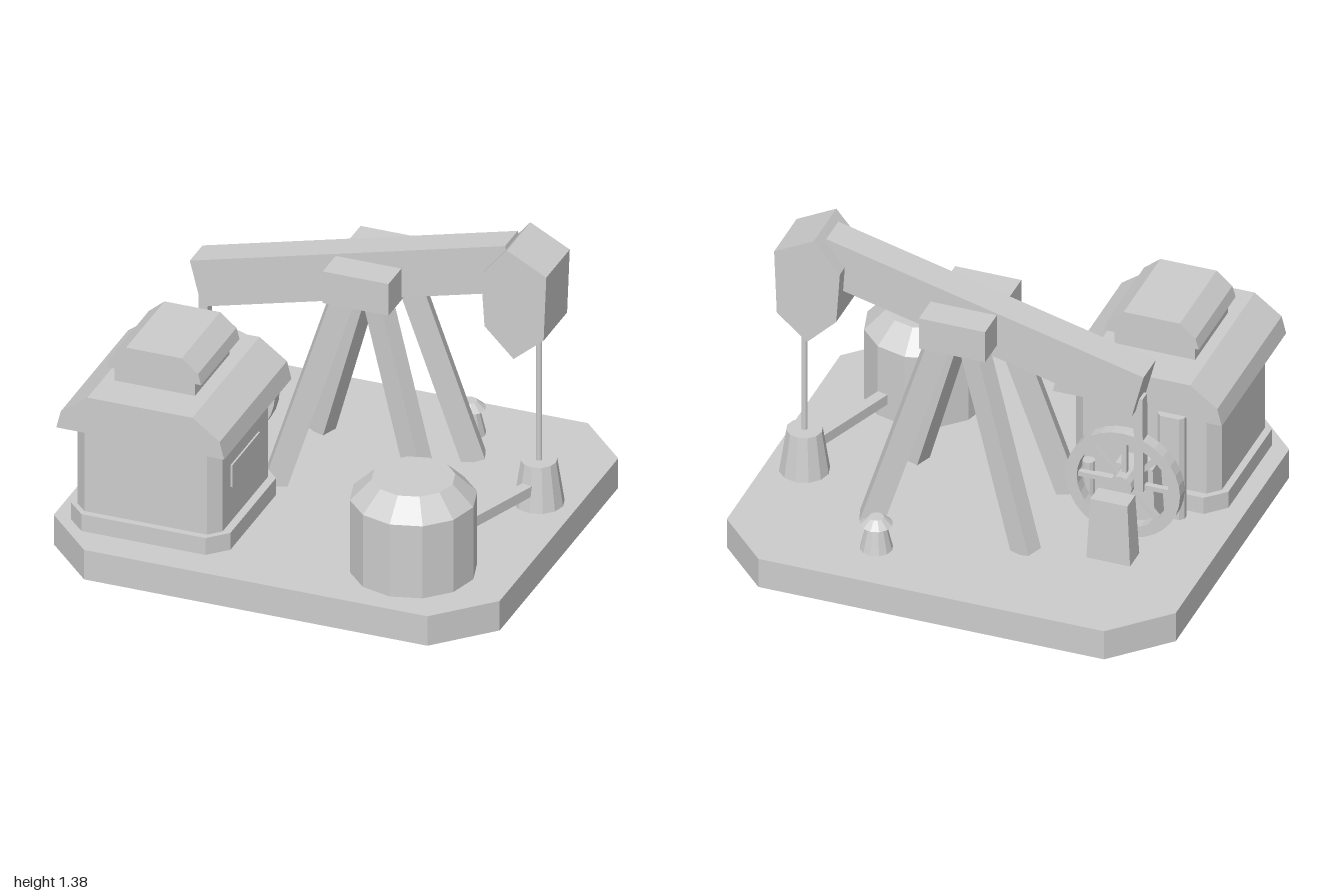
import * as THREE from 'three';

const metal = new THREE.MeshStandardMaterial({ color: 0xcccccc, side: THREE.DoubleSide });
metal.name = 'plain grey';

export function createModel() {
  const model = new THREE.Group();
  const add = (name, geo, x = 0, y = 0, z = 0, parent = model) => {
    const flat = geo.index ? geo.toNonIndexed() : geo;
    flat.computeVertexNormals();
    const mesh = new THREE.Mesh(flat, metal);
    mesh.name = name;
    mesh.position.set(x, y, z);
    parent.add(mesh);
    return mesh;
  };
  // box given by its limits
  const block = (name, x0, x1, y0, y1, z0, z1, parent) =>
    add(name, new THREE.BoxGeometry(x1 - x0, y1 - y0, z1 - z0),
      (x0 + x1) / 2, (y0 + y1) / 2, (z0 + z1) / 2, parent);
  // upright frustum standing on y0
  const drum = (name, rTop, rBottom, y0, y1, sides, x, z, parent) =>
    add(name, new THREE.CylinderGeometry(rTop, rBottom, y1 - y0, sides), x, (y0 + y1) / 2, z, parent);
  // profile in x and y, extruded from z0 to z1
  const slab = (name, points, z0, z1, parent) =>
    add(name, new THREE.ExtrudeGeometry(new THREE.Shape(points.map(p => new THREE.Vector2(...p))),
      { depth: z1 - z0, bevelEnabled: false }), 0, 0, z0, parent);
  // prism whose plan is a rectangle with cut corners, open underneath
  const prism = (name, hx, hz, cx, cz, y0, y1, x, z, parent) => {
    const plan = [[hx, hz - cz], [hx - cx, hz], [cx - hx, hz], [-hx, hz - cz],
      [-hx, cz - hz], [cx - hx, -hz], [hx - cx, -hz], [hx, cz - hz]];
    const shape = new THREE.Shape(plan.map(p => new THREE.Vector2(...p)));
    const solid = new THREE.ExtrudeGeometry(shape, { depth: y1 - y0, bevelEnabled: false });
    // the first half of the caps is the bottom face
    const kept = solid.attributes.position.array.slice(solid.groups[0].count / 2 * 3);
    const geo = new THREE.BufferGeometry().setAttribute('position', new THREE.BufferAttribute(kept, 3));
    return add(name, geo.rotateX(-Math.PI / 2), x, y0, z, parent);
  };
  // square bar between two points
  const bar = (name, a, b, w, h, parent) => {
    const p = new THREE.Vector3(...a), q = new THREE.Vector3(...b);
    const m = p.clone().add(q).multiplyScalar(0.5);
    const mesh = add(name, new THREE.BoxGeometry(w, h, p.distanceTo(q)), m.x, m.y, m.z, parent);
    mesh.lookAt(q);
    return mesh;
  };
  const group = name => {
    const g = new THREE.Group();
    g.name = name;
    model.add(g);
    return g;
  };

  // hollow ground slab
  prism('base', 1, 0.898, 0.23, 0.235, 0, 0.14, 0, 0);

  // engine house with a folded roof and a raised vent
  const house = group('engineHouse');
  prism('plinth', 0.358, 0.335, 0.08, 0.08, 0.14, 0.22, -0.563, 0.415, house);
  prism('walls', 0.325, 0.303, 0.05, 0.05, 0.22, 0.7, -0.565, 0.417, house);
  slab('roof', [[-0.94, 0.63], [-0.187, 0.63], [-0.207, 0.71], [-0.33, 0.8], [-0.8, 0.8], [-0.92, 0.71]],
    0.032, 0.785, house);
  block('ventNeck', -0.75, -0.39, 0.79, 0.88, 0.22, 0.605, house);
  slab('ventRoof', [[-0.775, 0.87], [-0.353, 0.87], [-0.367, 0.92], [-0.44, 0.98], [-0.69, 0.98], [-0.76, 0.92]],
    0.198, 0.628, house);
  block('sidePanel', -0.245, -0.232, 0.385, 0.49, 0.27, 0.58, house);
  // fittings behind the house
  prism('rearColumn', 0.06, 0.03, 0.018, 0.018, 0.14, 0.64, -0.72, 0.03, house);
  block('rearCabinet', -0.62, -0.5, 0.14, 0.38, 0.012, 0.06, house);
  drum('rearPipe', 0.027, 0.027, 0.14, 0.32, 12, -0.345, 0.038, house);

  // four splayed legs and the saddle on top
  const frame = group('supportFrame');
  for (const sx of [-1, 1]) for (const sz of [-1, 1])
    bar('leg', [0.095 + sx * 0.082, 1.02, -0.195 + sz * 0.155],
      [0.095 + sx * 0.345, 0.14, -0.195 + sz * 0.25], 0.08, 0.1, frame);
  block('saddle', -0.053, 0.242, 1.01, 1.16, -0.407, 0.017, frame);

  // tilted beam with its hammer-shaped head
  slab('walkingBeam', [[-0.707, 1.003], [-0.654, 0.796], [0.76, 1.154], [0.707, 1.362]], -0.27, -0.128);
  slab('beamHead', [[0.74, 1.38], [0.624, 1.24], [0.64, 1.0], [0.77, 0.87], [0.905, 0.985], [0.917, 1.287]],
    -0.328, -0.065);

  // wellhead and polished rod
  drum('wellhead', 0.077, 0.108, 0.14, 0.342, 12, 0.833, -0.193);
  drum('pumpRod', 0.013, 0.013, 0.3, 0.98, 12, 0.833, -0.193);

  // storage tank and its pipe to the wellhead
  drum('tankBody', 0.268, 0.268, 0.14, 0.482, 12, 0.56, 0.53);
  drum('tankTop', 0.176, 0.268, 0.482, 0.573, 12, 0.56, 0.53);
  bar('tankPipe', [0.63, 0.235, 0.4], [0.835, 0.235, -0.17], 0.048, 0.048);

  // small capped valve
  drum('valveBody', 0.04, 0.07, 0.14, 0.265, 12, 0.342, -0.641);
  drum('valveCap', 0.032, 0.07, 0.26, 0.293, 12, 0.342, -0.641);

  // spoked flywheel turning between two bearing blocks
  const drive = group('flywheelDrive');
  const rim = new THREE.Shape().absarc(0, 0, 0.255, 0, Math.PI * 2);
  rim.holes.push(new THREE.Path().absarc(0, 0, 0.205, 0, Math.PI * 2, true));
  add('wheelRim', new THREE.ExtrudeGeometry(rim, { depth: 0.055, bevelEnabled: false, curveSegments: 16 }),
    -0.597, 0.415, -0.225, drive);
  for (let i = 0; i < 4; i++)
    add('spoke', new THREE.BoxGeometry(0.44, 0.022, 0.025), -0.597, 0.415, -0.198, drive)
      .rotation.z = i * Math.PI / 4;
  const hub = new THREE.CylinderGeometry(0.05, 0.05, 0.1, 12).rotateX(Math.PI / 2);
  add('hub', hub, -0.597, 0.42, -0.2, drive);
  for (const z of [-0.347, -0.052]) {
    const bearing = new THREE.CylinderGeometry(0.6, Math.SQRT1_2, 0.29, 4).rotateY(Math.PI / 4);
    add('bearingBlock', bearing.scale(0.195, 1, 0.108), -0.599, 0.285, z, drive);
  }
  bar('pitmanArm', [-0.665, 0.86, -0.198], [-0.668, 0.4, -0.198], 0.055, 0.04, drive);

  return model;
}
